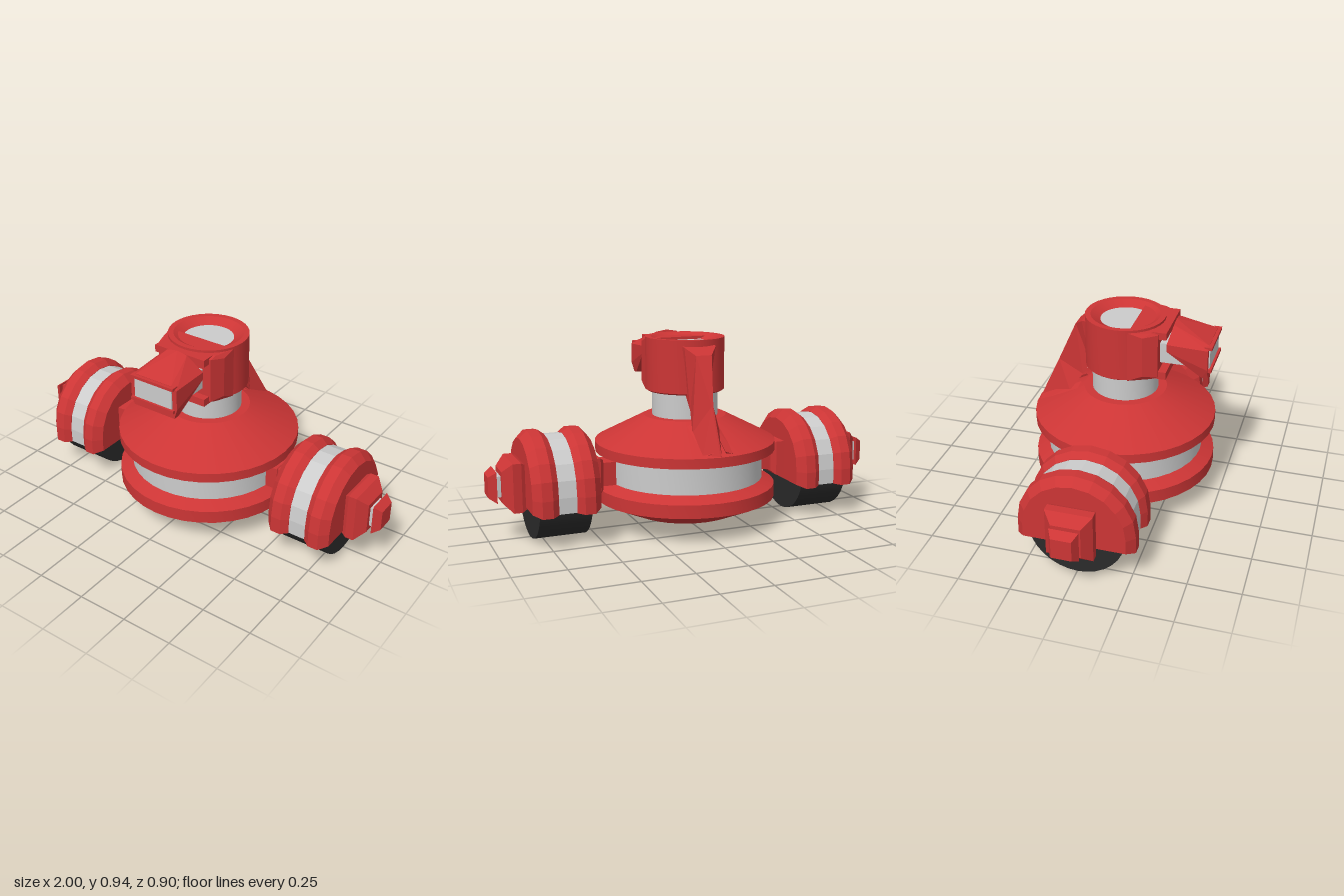
import * as THREE from 'three';
import { toCreasedNormals } from 'three/addons/utils/BufferGeometryUtils.js';
import { ConvexGeometry } from 'three/addons/geometries/ConvexGeometry.js';

const RED = 0xcc3535, GREY = 0xcccccc, BLACK = 0x2b2b2b;

function add(parent, name, geometry, color, flat = false) {
  const material = new THREE.MeshStandardMaterial({ color, flatShading: flat });
  const mesh = new THREE.Mesh(geometry, material);
  mesh.name = name;
  parent.add(mesh);
  return mesh;
}

// Revolved [radius, y] profile, listed from bottom to top, with sharp edges kept
function lathe(profile, sides = 36) {
  const pts = profile.map(([r, y]) => new THREE.Vector2(r, y));
  return toCreasedNormals(new THREE.LatheGeometry(pts, sides), 0.4);
}

// Capped skin over rings of equal point count, turned to face outward
function loft(rings) {
  const tris = [];
  const n = rings[0].length;
  for (let i = 0; i < rings.length - 1; i++) {
    for (let j = 0; j < n; j++) {
      const k = (j + 1) % n;
      const a = rings[i][j], b = rings[i][k], c = rings[i + 1][k], d = rings[i + 1][j];
      tris.push([a, b, c], [a, c, d]);
    }
  }
  const first = rings[0], last = rings[rings.length - 1];
  for (let j = 1; j < n - 1; j++) {
    tris.push([first[0], first[j + 1], first[j]], [last[0], last[j], last[j + 1]]);
  }
  let volume = 0;
  for (const [a, b, c] of tris) volume += a.dot(b.clone().cross(c));
  const pos = [];
  for (const [a, b, c] of tris) {
    for (const p of volume < 0 ? [a, c, b] : [a, b, c]) pos.push(p.x, p.y, p.z);
  }
  const g = new THREE.BufferGeometry();
  g.setAttribute('position', new THREE.Float32BufferAttribute(pos, 3));
  g.computeVertexNormals();
  return g;
}

const V = (x, y, z) => new THREE.Vector3(x, y, z);

// Rectangle across the x axis
const rect = (x, y, halfY, halfZ) => [
  V(x, y - halfY, -halfZ), V(x, y - halfY, halfZ), V(x, y + halfY, halfZ), V(x, y + halfY, -halfZ)];

// Half-round arch across the x axis with a flat bottom
function arch(x, r, bottom) {
  const ring = [V(x, bottom, r)];
  for (let i = 0; i <= 10; i++) {
    const a = Math.PI * i / 10;
    ring.push(V(x, 0.247 + r * Math.sin(a), r * Math.cos(a)));
  }
  ring.push(V(x, bottom, -r));
  return ring;
}

function box(parent, name, color, [x0, x1], [y0, y1], [z0, z1]) {
  const g = new THREE.BoxGeometry(x1 - x0, y1 - y0, z1 - z0);
  add(parent, name, g, color).position.set((x0 + x1) / 2, (y0 + y1) / 2, (z0 + z1) / 2);
}

// Arm, housing, wheel and hub of one side, reaching toward +x
function wheelPod() {
  const pod = new THREE.Group();
  add(pod, 'arm', loft([rect(0.36, 0.287, 0.058, 0.06), rect(0.46, 0.287, 0.058, 0.06)]), RED, true);
  add(pod, 'armCollar', loft([
    rect(0.45, 0.29, 0.07, 0.07), rect(0.47, 0.29, 0.088, 0.095), rect(0.53, 0.29, 0.088, 0.1)]), RED, true);
  // Two bevelled rims around a recessed grey band
  add(pod, 'innerRim', loft([
    arch(0.512, 0.235, 0.18), arch(0.55, 0.276, 0.165), arch(0.6, 0.276, 0.165), arch(0.632, 0.252, 0.17)]), RED, true);
  add(pod, 'outerRim', loft([
    arch(0.718, 0.252, 0.17), arch(0.75, 0.276, 0.165), arch(0.8, 0.276, 0.165), arch(0.838, 0.24, 0.18)]), RED, true);
  add(pod, 'housingBand', loft([arch(0.62, 0.25, 0.172), arch(0.73, 0.25, 0.172)]), GREY, true);
  const wheel = toCreasedNormals(new THREE.CylinderGeometry(0.228, 0.228, 0.25, 32), 0.4);
  wheel.rotateZ(Math.PI / 2);
  add(pod, 'wheel', wheel, BLACK).position.set(0.675, 0.228, 0);
  // Square hub, stalk and cap
  add(pod, 'hub', loft([
    rect(0.82, 0.275, 0.1, 0.095), rect(0.855, 0.275, 0.118, 0.11),
    rect(0.895, 0.275, 0.118, 0.11), rect(0.94, 0.275, 0.075, 0.068)]), RED, true);
  add(pod, 'hubStalk', loft([rect(0.93, 0.275, 0.05, 0.047), rect(0.97, 0.275, 0.05, 0.047)]), GREY, true);
  add(pod, 'hubCap', loft([rect(0.962, 0.275, 0.075, 0.068), rect(1, 0.275, 0.05, 0.047)]), RED, true);
  return pod;
}

export function createModel() {
  const model = new THREE.Group();
  model.name = 'wheeledRobot';

  // Body
  add(model, 'lowerBody', lathe([[0, 0.055], [0.27, 0.055], [0.45, 0.135], [0.45, 0.2], [0.38, 0.234], [0, 0.234]]), RED);
  add(model, 'bodyBand', lathe([[0.388, 0.225], [0.388, 0.365]]), GREY);
  add(model, 'upperBody', lathe([[0, 0.357], [0.38, 0.357], [0.45, 0.372], [0.45, 0.42], [0.205, 0.545], [0, 0.545]]), RED);

  // Neck and head
  add(model, 'neck', lathe([[0.163, 0.53], [0.163, 0.68]]), GREY);
  const head = new THREE.Group();
  head.name = 'head';
  model.add(head);
  add(head, 'headShell', lathe([
    [0, 0.668], [0.185, 0.668], [0.195, 0.675], [0.195, 0.932], [0.168, 0.932], [0.12, 0.905]]), RED);
  const lid = add(head, 'headLid', new THREE.CircleGeometry(0.122, 36), GREY);
  lid.rotation.x = -Math.PI / 2;
  lid.position.y = 0.906;

  // Bracket holding the eye
  add(head, 'eyeBracket', new ConvexGeometry([-1, 1].flatMap((s) => [
    V(s * 0.185, 0.67, 0.06), V(s * 0.185, 0.92, 0.06), V(s * 0.18, 0.7, 0.13), V(s * 0.18, 0.9, 0.13),
    V(s * 0.155, 0.68, 0.165), V(s * 0.155, 0.92, 0.165), V(s * 0.15, 0.69, 0.197), V(s * 0.15, 0.91, 0.197)])), RED, true);
  box(head, 'bracketTop', RED, [-0.14, 0.14], [0.885, 0.92], [0.15, 0.235]);
  box(head, 'bracketBottom', RED, [-0.14, 0.14], [0.678, 0.715], [0.15, 0.235]);
  box(head, 'eye', GREY, [-0.105, 0.105], [0.75, 0.85], [0.18, 0.436]);

  // Hood around the eye
  add(head, 'eyeHood', new ConvexGeometry([-1, 1].flatMap((s) => [
    V(s * 0.115, 0.702, 0.43), V(s * 0.115, 0.702, 0.4), V(s * 0.13, 0.75, 0.43), V(s * 0.13, 0.85, 0.43),
    V(s * 0.135, 0.825, 0.235), V(s * 0.135, 0.86, 0.235), V(s * 0.055, 0.928, 0.25), V(0, 0.937, 0.25),
    V(s * 0.1, 0.866, 0.43)])), RED, true);
  box(head, 'hoodTopLip', RED, [-0.12, 0.12], [0.85, 0.864], [0.41, 0.447]);
  box(head, 'hoodBottomLip', RED, [-0.12, 0.12], [0.734, 0.75], [0.41, 0.447]);

  // Tent-shaped brace from the head down to the back rim: [top y, z, half width], [bottom y, z, half width]
  const brace = [
    [[0.905, -0.17, 0.085], [0.665, -0.14, 0.06]],
    [[0.9, -0.195, 0.08], [0.665, -0.16, 0.06]],
    [[0.865, -0.24, 0.04], [0.6, -0.205, 0.055]],
    [[0.64, -0.345, 0.004], [0.505, -0.27, 0.07]],
    [[0.42, -0.446, 0.004], [0.405, -0.43, 0.09]],
  ];
  add(model, 'backBrace', loft(brace.map(([[ty, tz, tw], [by, bz, bw]]) => [
    V(-bw, by, bz), V(-tw, ty, tz), V(tw, ty, tz), V(bw, by, bz)])), RED, true);
  for (const s of [-1, 1]) {
    add(model, s > 0 ? 'leftBraceFoot' : 'rightBraceFoot', new ConvexGeometry([
      V(s * 0.05, 0.53, -0.2), V(s * 0.04, 0.548, -0.22), V(s * 0.09, 0.52, -0.23),
      V(s * 0.03, 0.44, -0.43), V(s * 0.09, 0.42, -0.43), V(s * 0.05, 0.4, -0.4)]), RED, true);
  }

  // Wheel pods, alike on both sides
  for (const side of ['left', 'right']) {
    const pod = wheelPod();
    pod.name = side + 'WheelPod';
    if (side === 'right') pod.rotation.y = Math.PI;
    model.add(pod);
  }
  return model;
}
